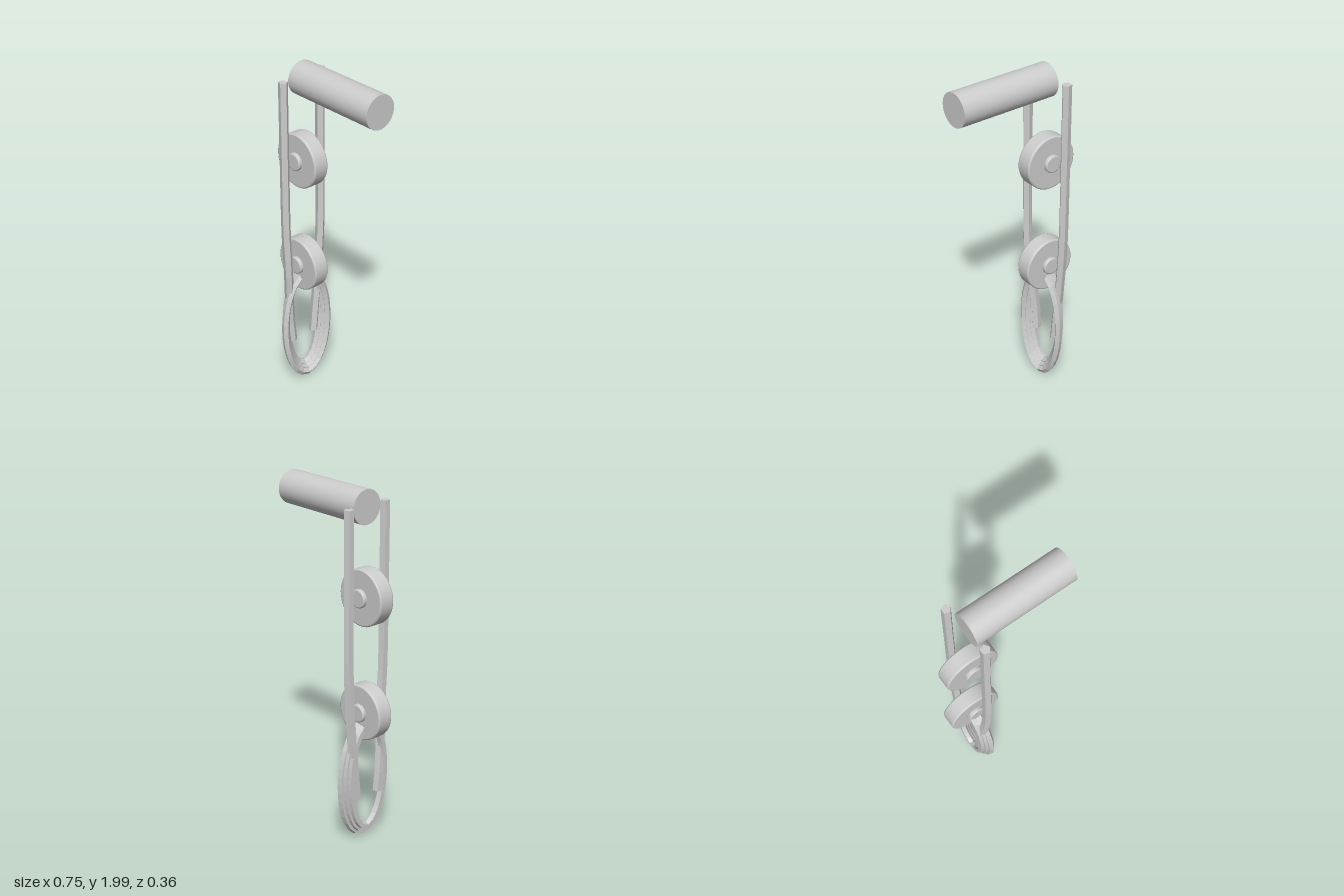
import * as THREE from 'three';

const grey = new THREE.MeshStandardMaterial({ color: 0xcccccc });
grey.name = 'plainGrey';
const ropeGrey = grey.clone();
ropeGrey.name = 'ropeGrey';
ropeGrey.flatShading = true;

const SIDES = 5;

// Low-poly rope along a curve, with end caps when it is open
function rope(name, curve, segments, radius, closed) {
  const geo = new THREE.TubeGeometry(curve, segments, radius, SIDES, closed);
  if (!closed) {
    const index = Array.from(geo.index.array);
    const last = segments * (SIDES + 1);
    for (let j = 1; j < SIDES - 1; j++) {
      index.push(0, j, j + 1, last, last + j + 1, last + j);
    }
    geo.setIndex(index);
  }
  const mesh = new THREE.Mesh(geo, ropeGrey);
  mesh.name = name;
  return mesh;
}

// Disc with softened edges, its axis along z
function disc(name, radius, half, bevel) {
  const profile = [
    [0, -half], [radius - bevel, -half],
    [radius - bevel, -half], [radius - bevel * 0.3, -half + bevel * 0.3],
    [radius, -half + bevel], [radius, -half + bevel],
    [radius, half - bevel], [radius, half - bevel],
    [radius - bevel * 0.3, half - bevel * 0.3], [radius - bevel, half],
    [radius - bevel, half], [0, half],
  ].map(([x, y]) => new THREE.Vector2(x, y));
  const mesh = new THREE.Mesh(new THREE.LatheGeometry(profile, 48), grey);
  mesh.rotation.x = Math.PI / 2;
  mesh.name = name;
  return mesh;
}

function pulley(name, y) {
  const group = new THREE.Group();
  group.name = name;
  group.add(disc('wheel', 0.157, 0.046, 0.008), disc('axle', 0.051, 0.067, 0.007));
  group.position.set(-0.222, y, 0);
  return group;
}

// Hanging strand that bends inward into a loose tail
function strand(name, side, x, tailX) {
  const points = [
    [x, 1.92, 0.14], [x, 1.45, 0.14], [x, 1.0, 0.138], [x, 0.8, 0.128],
    [(x + tailX) / 2, 0.6, 0.112], [tailX, 0.43, 0.095], [tailX, 0.27, 0.08],
  ].map(([px, py, pz]) => new THREE.Vector3(px, py, pz * side));
  return rope(name, new THREE.CatmullRomCurve3(points), 14, 0.027, false);
}

export function createModel() {
  const model = new THREE.Group();
  model.name = 'pulleyAndRope';

  // Horizontal beam
  const beam = new THREE.Mesh(new THREE.CylinderGeometry(0.094, 0.094, 0.595, 48), grey);
  beam.name = 'beam';
  beam.rotation.z = Math.PI / 2;
  beam.position.set(0.078, 1.906, 0);
  model.add(beam);

  model.add(pulley('upperPulley', 1.427), pulley('lowerPulley', 0.775));

  model.add(strand('frontStrand', 1, -0.205, -0.235));
  model.add(strand('backStrand', -1, -0.237, -0.237));

  // Coiled loops, nested and stepped sideways
  for (let i = 0; i < 3; i++) {
    const bottom = 0.028 + i * 0.022;
    const top = 0.705;
    const points = [];
    for (let k = 0; k < 16; k++) {
      const a = (k / 16) * Math.PI * 2;
      points.push(new THREE.Vector3(
        -0.196 - i * 0.018 - 0.012 * (1 + Math.cos(a)) / 2,
        (top + bottom) / 2 + Math.cos(a) * (top - bottom) / 2,
        Math.sin(a) * (0.158 - i * 0.018)));
    }
    model.add(rope('coil' + (i + 1), new THREE.CatmullRomCurve3(points, true), 32, 0.022, true));
  }
  return model;
}
